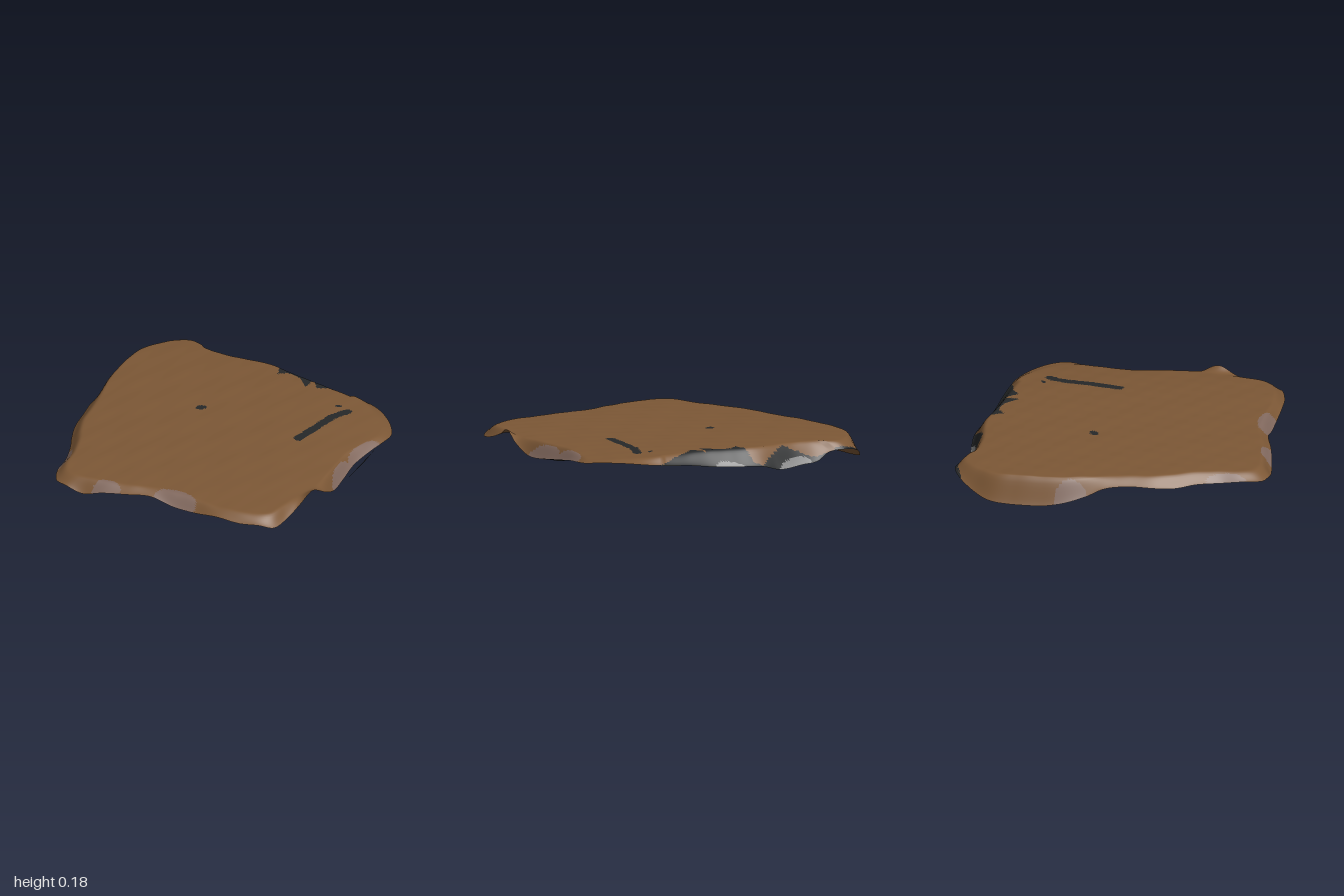
import * as THREE from 'three';

const mat = (name, color) => {
  const m = new THREE.MeshStandardMaterial({ color, side: THREE.DoubleSide });
  m.name = name;
  return m;
};

// Rim of the slab: x, z, height of the drooping edge
const RIM = [
  [-.59, -1, .11], [-.68, -.98, .09], [-.79, -.89, .04], [-.86, -.8, .01], [-.9, -.66, 0],
  [-.925, -.5, 0], [-.935, -.36, .02], [-.925, -.22, .06], [-.915, -.1, .11], [-.91, .05, .12],
  [-.915, .2, .11], [-.895, .32, .1], [-.86, .45, .11], [-.84, .6, .11], [-.84, .75, .12],
  [-.81, .85, .11], [-.74, .89, .11], [-.63, .905, .08], [-.5, .91, .11], [-.35, .905, .125],
  [-.2, .89, .13], [-.05, .915, .1], [.1, .945, .1], [.25, .98, .12], [.4, .995, .11],
  [.52, .98, .11], [.6, .94, .085], [.65, .82, .1], [.69, .7, .14], [.73, .6, .185],
  [.77, .48, .12], [.785, .35, .06], [.795, .2, .06], [.81, .05, .08], [.86, -.1, .1],
  [.9, -.2, .11], [.93, -.3, .12], [.89, -.4, .13], [.8, -.52, .13], [.7, -.61, .12],
  [.6, -.66, .11], [.45, -.71, .1], [.3, -.76, .08], [.15, -.82, .07], [0, -.88, .06],
  [-.12, -.9, .03], [-.3, -.91, .04], [-.4, -.93, .05], [-.48, -.95, .1]
];

// Ragged front border of the dark area on the back edge: x, z
const CHAR = [
  [-.7, -.965], [-.6, -.985], [-.5, -.955], [-.4, -.91], [-.3, -.865], [-.2, -.83], [-.1, -.85],
  [0, -.87], [.05, -.84], [.07, -.7], [.12, -.73], [.17, -.72], [.22, -.69], [.28, -.6],
  [.3, -.7], [.35, -.61], [.42, -.64], [.5, -.64], [.63, -.645]
];

// Centre line of the dark gash: x, z
const GASH = [[.61, -.42], [.55, -.33], [.5, -.18], [.44, 0]];

// Patches: x, z, radius x, radius z, turn
const GREY = [[-.23, -.92, .14, .045, 0], [.18, -.81, .11, .025, .5]];
const MAUVE = [
  [-.93, -.31, .05, .1, 0], [-.84, .63, .04, .12, 0], [-.48, .9, .09, .06, 0],
  [-.04, .9, .14, .07, .2], [.84, -.05, .05, .15, .3], [.79, .22, .04, .14, 0]
];
const SPOTS = [[-.235, -.16, .035, .024, -.5], [.54, -.46, .022, .012, -.3]];

const inside = (list, x, z) => list.some(([cx, cz, rx, rz, a]) => {
  const dx = x - cx, dz = z - cz, c = Math.cos(a), s = Math.sin(a);
  return ((dx * c + dz * s) / rx) ** 2 + ((dz * c - dx * s) / rz) ** 2 < 1;
});

function inGash(x, z) {
  return GASH.slice(1).some(([bx, bz], i) => {
    const [ax, az] = GASH[i], ux = bx - ax, uz = bz - az;
    const t = THREE.MathUtils.clamp(((x - ax) * ux + (z - az) * uz) / (ux * ux + uz * uz), 0, 1);
    return Math.hypot(x - ax - t * ux, z - az - t * uz) < .027;
  });
}

function charred(x, z) {
  for (let i = 1; i < CHAR.length; i++) {
    const [ax, az] = CHAR[i - 1], [bx, bz] = CHAR[i];
    if (x >= ax && x < bx) return z < az + (bz - az) * (x - ax) / (bx - ax);
  }
  return false;
}

// Material index for a point of the sheet
function colourAt(x, z) {
  if (inside(GREY, x, z)) return 2;
  if (charred(x, z) || inGash(x, z) || inside(SPOTS, x, z)) return 1;
  return inside(MAUVE, x, z) ? 3 : 0;
}

// Gently domed, slightly rippled top
function topHeight(x, z) {
  const ripple = Math.sin(17 * x + 5 * z) * Math.sin(13 * z - 4 * x) + .6 * Math.sin(41 * x - 9 * z) * Math.sin(31 * z + 7 * x);
  return .176 - .055 * Math.max(0, x) ** 3 - .01 * x ** 4 - .02 * z ** 4 + .0015 * ripple;
}

function sheetGeometry() {
  const N = 400, RINGS = 72;
  const curve = new THREE.CatmullRomCurve3(RIM.map(([x, z, y]) => new THREE.Vector3(x, y, z)), true);
  const rim = curve.getSpacedPoints(N).slice(0, N);
  const pos = [0, topHeight(0, 0), 0];
  for (let r = 1; r <= RINGS; r++) {
    const s = 1 - (1 - r / RINGS) ** 1.25; // rings crowd toward the rim
    for (const p of rim) {
      const x = p.x * s, z = p.z * s;
      const width = p.z < -.65 && p.x > -.5 ? .1 : .07;
      const t = THREE.MathUtils.smoothstep(s, 1 - width, 1.02);
      pos.push(x, THREE.MathUtils.lerp(topHeight(x, z), Math.max(0, p.y), Math.min(1, t * 1.12)), z);
    }
  }

  // Sort the faces by colour into material groups
  const faces = [[], [], [], []];
  const add = (a, b, c) => {
    const mid = k => (pos[a * 3 + k] + pos[b * 3 + k] + pos[c * 3 + k]) / 3;
    faces[colourAt(mid(0), mid(2))].push(a, b, c);
  };
  for (let i = 0; i < N; i++) {
    const j = (i + 1) % N;
    add(0, 1 + i, 1 + j);
    for (let r = 1; r < RINGS; r++) {
      const a = 1 + (r - 1) * N, b = a + N;
      add(a + i, b + i, b + j);
      add(a + i, b + j, a + j);
    }
  }
  const geo = new THREE.BufferGeometry();
  geo.setAttribute('position', new THREE.Float32BufferAttribute(pos, 3));
  geo.setIndex(faces.flat());
  let start = 0;
  faces.forEach((f, i) => { geo.addGroup(start, f.length, i); start += f.length; });
  geo.computeVertexNormals();
  return geo;
}

export function createModel() {
  const group = new THREE.Group();
  const brown = mat('brown', 0x7d5836), black = mat('black', 0x262829);
  const grey = mat('grey', 0x868686), mauve = mat('mauve brown', 0x836a5f);

  const slab = new THREE.Mesh(sheetGeometry(), [brown, black, grey, mauve]);
  slab.name = 'slab';
  group.add(slab);

  // Loose sliver beside the right-hand rim
  const geo = new THREE.BufferGeometry().setFromPoints([
    new THREE.Vector3(.885, .11, -.12), new THREE.Vector3(.82, .07, .2), new THREE.Vector3(.86, .085, 0)
  ]);
  geo.computeVertexNormals();
  const sliver = new THREE.Mesh(geo, black);
  sliver.name = 'sliver';
  group.add(sliver);
  return group;
}
